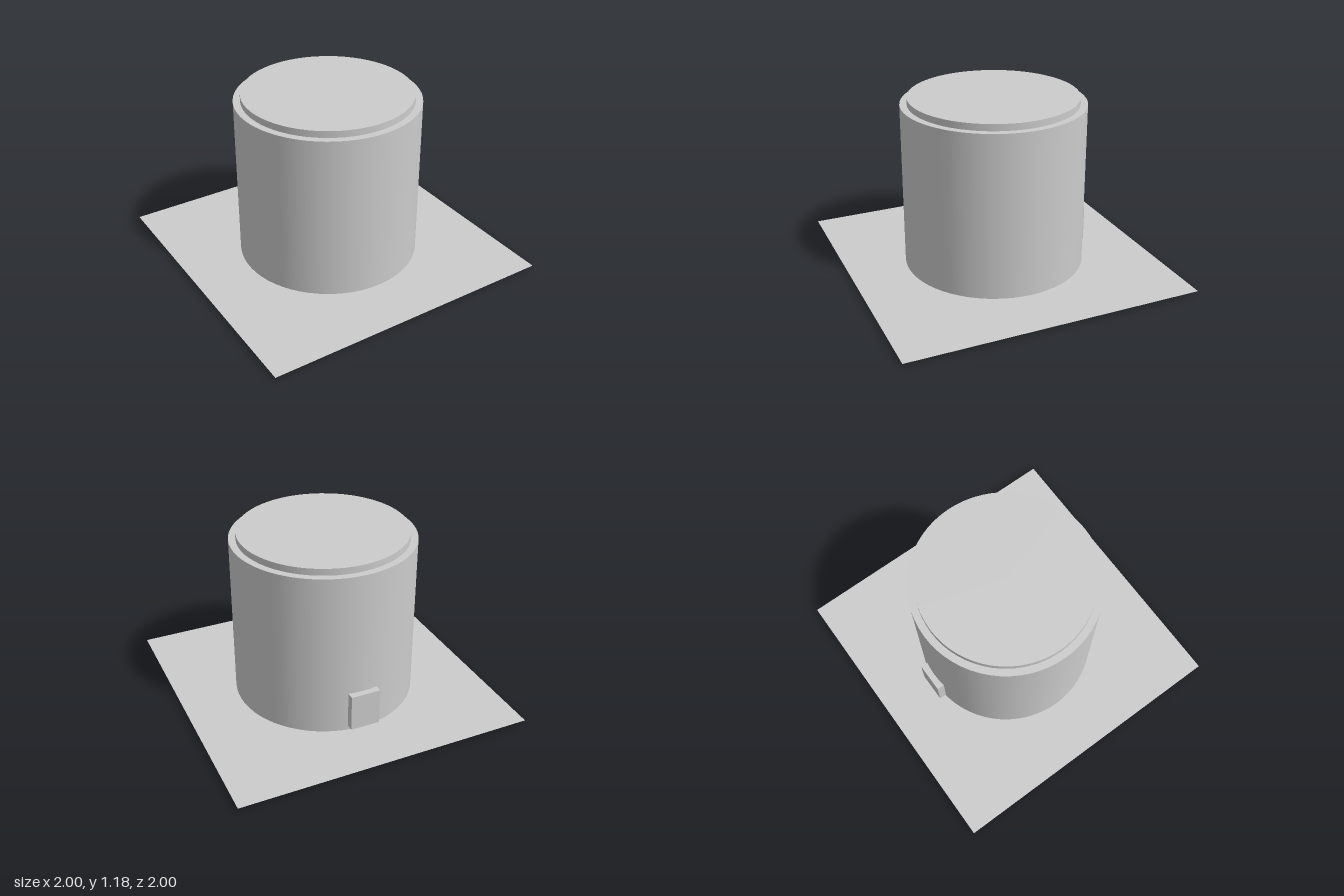
import * as THREE from 'three';

export function createModel() {
  const model = new THREE.Group();
  const grey = new THREE.MeshStandardMaterial({ color: 0xcccccc });
  const sheet = new THREE.MeshStandardMaterial({ color: 0xcccccc, side: THREE.DoubleSide });

  const add = (name, geometry, x, y, z, material = grey) => {
    const mesh = new THREE.Mesh(geometry, material);
    mesh.name = name;
    mesh.position.set(x, y, z);
    model.add(mesh);
    return mesh;
  };

  // Upright cylinder, given by its bottom and top heights
  const addDrum = (name, radius, bottom, top) =>
    add(name, new THREE.CylinderGeometry(radius, radius, top - bottom, 64), 0, (bottom + top) / 2, 0);

  // Thin ground sheet, just above the underside of the body
  add('groundSheet', new THREE.PlaneGeometry(2, 2).rotateX(-Math.PI / 2), 0, 0.018, 0, sheet);

  // Round body and the narrower lid on top
  addDrum('body', 0.61, 0, 1.133);
  addDrum('lid', 0.563, 1.133, 1.178);

  // Small box low on the back
  add('backBox', new THREE.BoxGeometry(0.2, 0.25, 0.05), 0, 0.175, -0.626);

  return model;
}
